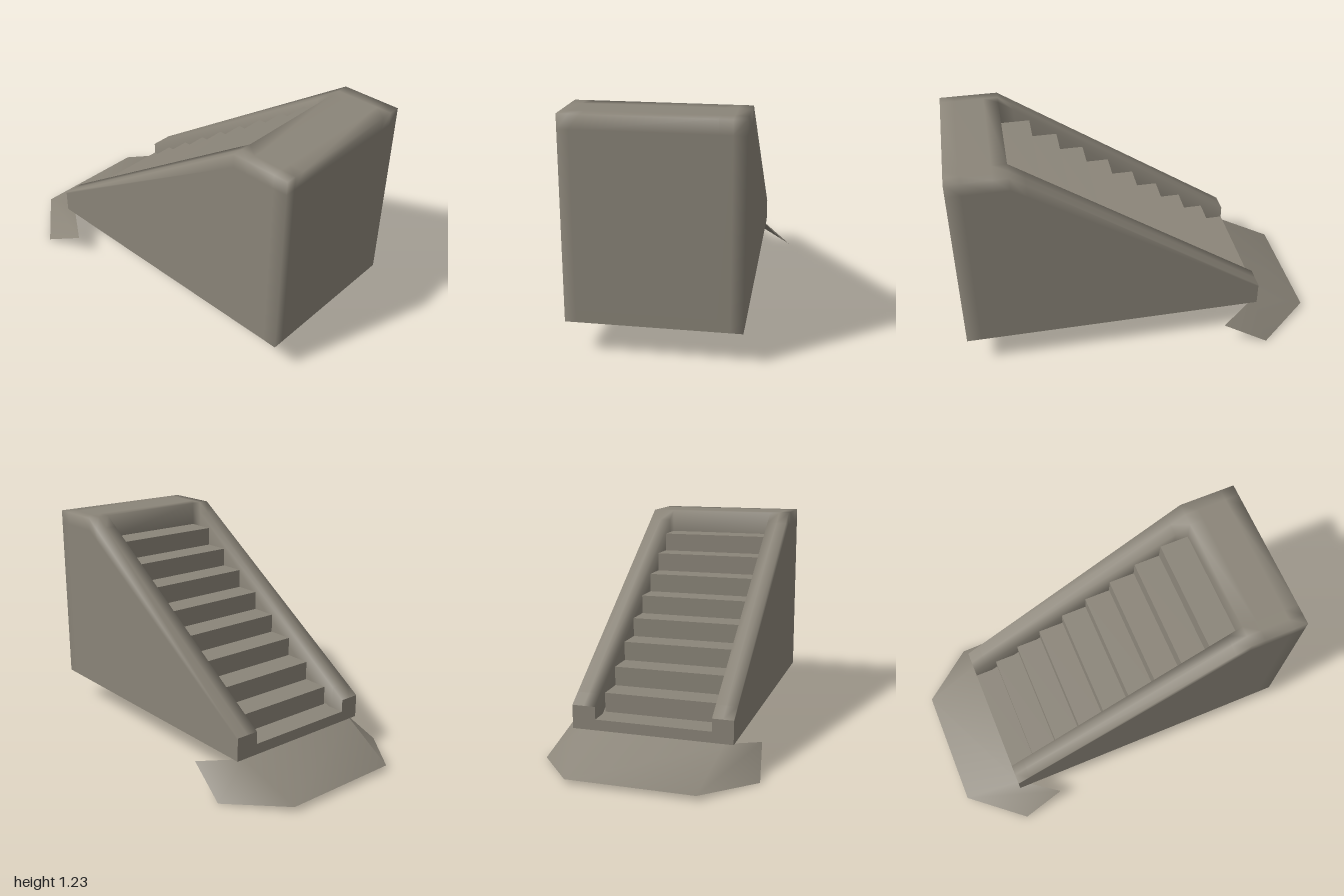
import * as THREE from 'three';
import { mergeGeometries, mergeVertices } from 'three/addons/utils/BufferGeometryUtils.js';

const BASE = 0.18, TOP = 1.23, BACK = -0.675, LANDING = 0.68, FRONT = 1;
// outer edge, middle and inner edge of each side rail
const RIGHT = [-0.445, -0.3875, -0.33], LEFT = [0.31, 0.375, 0.44];

// surface through rows of points; faces (row direction) x (column direction)
function patch(rows) {
  const n = rows[0].length, index = [];
  for (let i = 0; i < rows.length - 1; i++) {
    for (let j = 0; j < n - 1; j++) {
      const a = i * n + j, c = a + n;
      index.push(a, c, a + 1, a + 1, c, c + 1);
    }
  }
  const g = new THREE.BufferGeometry();
  g.setAttribute('position', new THREE.Float32BufferAttribute(rows.flat(2), 3));
  g.setIndex(index);
  return g;
}

// height of the rail top at a given depth
const railTop = z => Math.min(TOP, 0.31 + (z - BACK) * (TOP - 0.31) / (LANDING - BACK));
// heights up an outer wall, with support loops near both edges
const wall = z => [0, 0.06, 0.93, 1].map(t => BASE + (railTop(z) - BASE) * t);

export function createModel() {
  const group = new THREE.Group();
  const stone = new THREE.MeshStandardMaterial({ color: 0x8b8579, side: THREE.DoubleSide });
  stone.name = 'warm grey stone';
  const add = (name, geometry) => {
    const mesh = new THREE.Mesh(geometry, stone);
    mesh.name = name;
    group.add(mesh);
  };

  // softly shaded shell: two sloping rails, the landing, the front wall
  const outerRight = z => wall(z).map(y => [RIGHT[0], y, z]);
  const outerLeft = z => wall(z).reverse().map(y => [LEFT[2], y, z]);
  const across = (xs, y, z) => xs.map(x => [x, y, z]);
  const innerFoot = z => Math.max(BASE, railTop(z) - 0.14);
  const slope = [BACK, -0.6, 0.6, LANDING], flat = [LANDING, 0.76, 0.92, FRONT];
  const shell = [
    patch(slope.map(z => [
      ...outerRight(z), ...across(RIGHT.slice(1), railTop(z), z), [RIGHT[2], innerFoot(z), z]])),
    patch(slope.map(z => [
      [LEFT[0], innerFoot(z), z], ...across(LEFT.slice(0, 2), railTop(z), z), ...outerLeft(z)])),
    patch(flat.map(z => [
      ...outerRight(z), ...across([RIGHT[1], RIGHT[2], LEFT[0], LEFT[1]], TOP, z), ...outerLeft(z)])),
    patch(wall(FRONT).reverse().map(y => across([...RIGHT, ...LEFT], y, FRONT))),
    patch([1.09, TOP].map(y => across([RIGHT[2], LEFT[0]], y, LANDING))),
  ];
  const body = mergeVertices(mergeGeometries(shell), 1e-4);
  body.computeVertexNormals();
  add('railsAndLanding', body);

  // flat ends of the rails
  for (const [name, xs] of [['rightRailEnd', RIGHT], ['leftRailEnd', LEFT]]) {
    const end = patch([BASE, railTop(BACK)].map(y => across([xs[0], xs[2]], y, BACK)));
    end.computeVertexNormals();
    add(name, end);
  }

  // stairs: alternating risers and treads
  const profile = [[BACK, BASE]];
  const steps = 9, rise = 0.107;
  for (let i = 0; i < steps; i++) {
    const y = 0.24 + i * rise;
    const nose = i === 0 ? BACK : -0.685 + i * 0.15;
    const heel = i === steps - 1 ? LANDING : -0.685 + (i + 1) * 0.15;
    profile.push([nose, y], [heel, y]);
  }
  const stairs = patch(profile.map(([z, y]) => across([RIGHT[2], LEFT[0]], y, z))).toNonIndexed();
  stairs.computeVertexNormals();
  add('stairs', stairs);

  // underside rim, open in the middle
  const rim = new THREE.ShapeGeometry(new THREE.Shape([
    [RIGHT[0], BACK], [RIGHT[2], BACK], [RIGHT[2], 0.7], [LEFT[0], 0.7],
    [LEFT[0], BACK], [LEFT[2], BACK], [LEFT[2], FRONT], [RIGHT[0], FRONT],
  ].map(([x, z]) => new THREE.Vector2(x, z))));
  rim.rotateX(Math.PI / 2).translate(0, BASE, 0);
  add('undersideRim', rim);

  // thin drooping apron at the foot of the stairs
  const apron = patch([
    [[-0.59, 0.005, -0.7], [-0.345, 0.03, -1], [0.345, 0.03, -1], [0.59, 0.005, -0.7]],
    [[-0.545, 0.13, -0.455], [-0.4, BASE, -0.67], [0.4, BASE, -0.67], [0.545, 0.13, -0.455]],
  ]);
  apron.computeVertexNormals();
  add('footApron', apron);

  return group;
}
